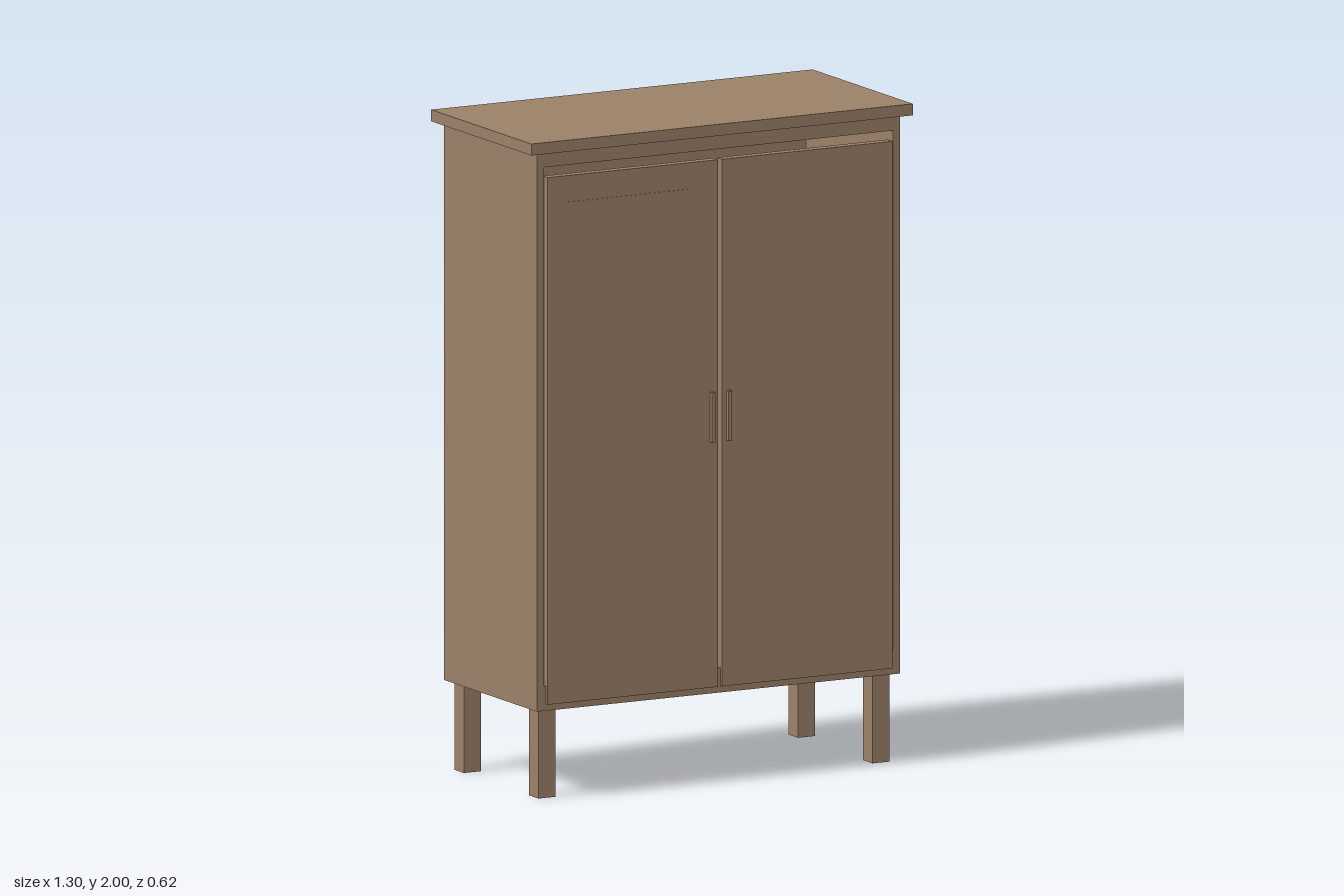
import * as THREE from 'three';

export function createModel() {
  const group = new THREE.Group();
  group.name = 'cabinet';
  const wood = new THREE.MeshStandardMaterial({ color: 0x9a8068 });

  // Box given by its minimum and maximum on each axis
  function box(name, [x0, x1], [y0, y1], [z0, z1]) {
    const mesh = new THREE.Mesh(new THREE.BoxGeometry(x1 - x0, y1 - y0, z1 - z0), wood);
    mesh.position.set((x0 + x1) / 2, (y0 + y1) / 2, (z0 + z1) / 2);
    mesh.name = name;
    group.add(mesh);
  }
  // Range on one side of zero, mirrored by sign s
  const side = (s, a, b) => (s > 0 ? [a, b] : [-b, -a]);

  // Hollow carcass and overhanging top
  box('topBoard', [-0.65, 0.65], [1.965, 2], [-0.308, 0.308]);
  box('topRail', [-0.595, 0.595], [1.92, 1.965], [-0.285, 0.285]);
  box('floorBoard', [-0.595, 0.595], [0.27, 0.345], [-0.285, 0.285]);
  box('backPanel', [-0.595, 0.595], [0.345, 1.92], [-0.285, -0.25]);

  for (const s of [1, -1]) {
    const label = s > 0 ? 'left' : 'right';
    box(label + 'SidePanel', side(s, 0.595, 0.618), [0.27, 1.965], [-0.285, 0.285]);

    // Doors stand slightly proud, with a gap in the middle and above
    box(label + 'Door', side(s, 0.007, 0.587), [0.29, 1.89], [0.265, 0.295]);
    box(label + 'Handle', side(s, 0.022, 0.034), [1.035, 1.187], [0.295, 0.308]);

    // Square legs
    for (const f of [1, -1]) {
      box(label + (f > 0 ? 'Front' : 'Back') + 'Leg', side(s, 0.54, 0.598), [0, 0.27], side(f, 0.2, 0.258));
    }
  }

  // Thin sheet on the right door
  box('doorSheet', [-0.52, -0.1], [0.935, 1.81], [0.294, 0.297]);

  return group;
}
